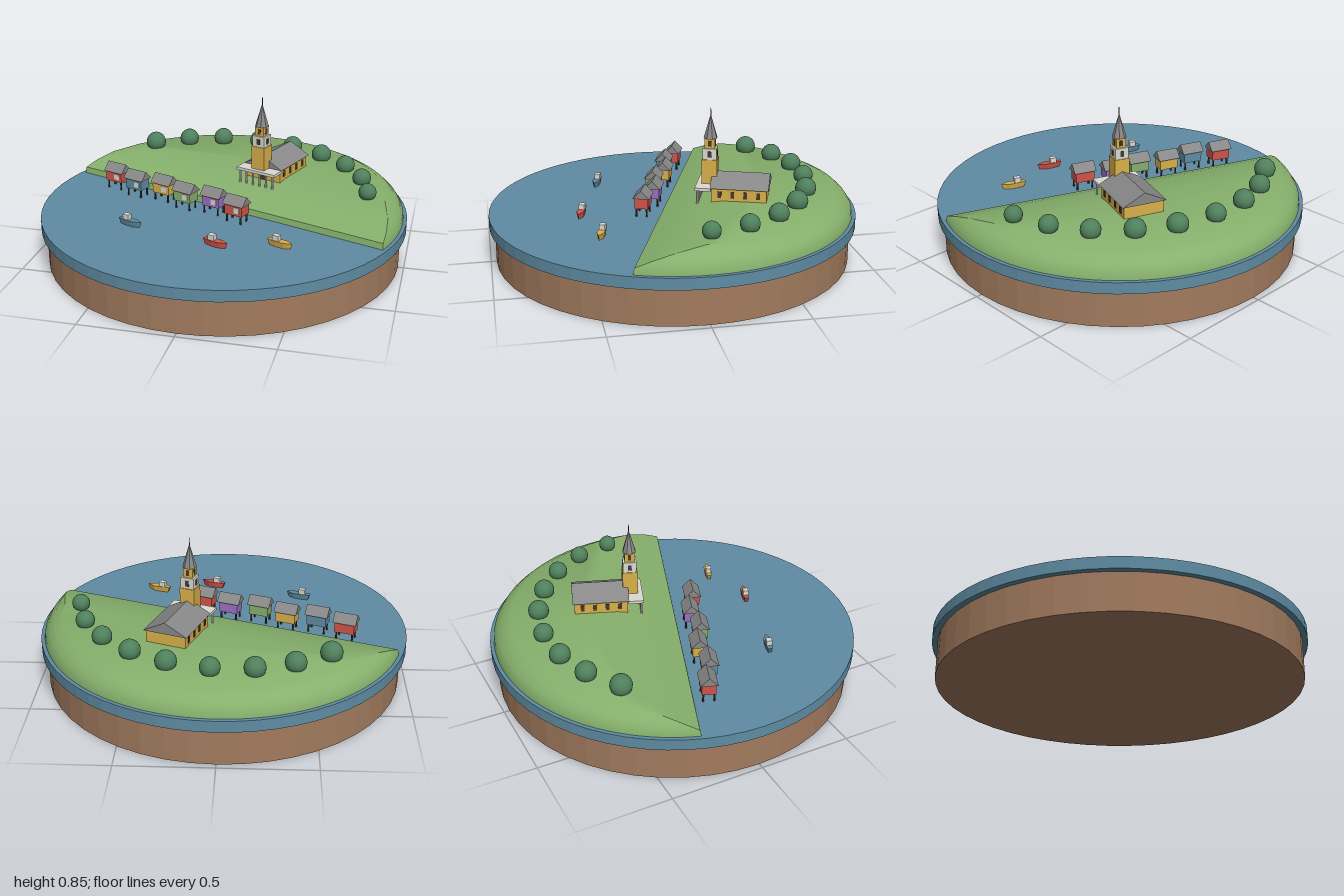
import * as THREE from 'three';
import { toCreasedNormals } from 'three/addons/utils/BufferGeometryUtils.js';

const mat = (name, color, flat = false) => {
  const m = new THREE.MeshStandardMaterial({ color, flatShading: flat });
  m.name = name;
  return m;
};

export function createModel() {
  const brown = mat('earth brown', 0xa27b5e, true);
  const blue = mat('water blue', 0x5f8ca3, true);
  const green = mat('grass green', 0x86b06c);
  const leaf = mat('tree green', 0x4f805c);
  const red = mat('red', 0xd0544a, true);
  const yellow = mat('yellow', 0xd9b04a, true);
  const purple = mat('purple', 0x9b6fc4, true);
  const grey = mat('roof grey', 0x888888, true);
  const white = mat('off white', 0xdcdad2, true);
  const dark = mat('dark', 0x45392f, true);

  const root = new THREE.Group();
  root.name = 'harbourVillage';
  const add = (parent, name, geo, material, x = 0, y = 0, z = 0) => {
    const m = new THREE.Mesh(geo, material);
    m.name = name;
    m.position.set(x, y, z);
    parent.add(m);
    return m;
  };
  const group = (parent, name, x = 0, y = 0, z = 0) => {
    const g = new THREE.Group();
    g.name = name;
    g.position.set(x, y, z);
    parent.add(g);
    return g;
  };
  // box standing on its base y
  const box = (parent, name, w, h, d, material, x, y, z) =>
    add(parent, name, new THREE.BoxGeometry(w, h, d), material, x, y + h / 2, z);
  // gabled roof with its ridge along z
  const gable = (w, h, len) => {
    const s = new THREE.Shape([[-w / 2, 0], [w / 2, 0], [0, h]].map(p => new THREE.Vector2(...p)));
    return new THREE.ExtrudeGeometry(s, { depth: len, bevelEnabled: false }).translate(0, 0, -len / 2);
  };

  // Round base and water disc
  add(root, 'earthBase', new THREE.CylinderGeometry(0.97, 0.97, 0.2, 48), brown, 0, 0.1, 0);
  add(root, 'water', new THREE.CylinderGeometry(1, 1, 0.062, 64), blue, 0, 0.231, 0);

  // Everything on the shore is turned with the shoreline
  const shore = group(root, 'shore');
  shore.rotation.y = -THREE.MathUtils.degToRad(20);

  // Land: half-disc rings [radius, shoreline z, y] lofted into a low hill
  const rings = [[0.98, 0.027, 0.262], [0.975, 0.02, 0.295], [0.955, -0.06, 0.325],
    [0.925, -0.16, 0.353], [0.88, -0.3, 0.375]];
  const nArc = 48, nChord = 16, n = nArc + nChord;
  const pos = [], idx = [];
  for (const [r, c, y] of rings) {
    const a0 = -Math.asin(c / r), xr = Math.sqrt(r * r - c * c);
    for (let i = 0; i < nArc; i++) {
      const a = a0 + (Math.PI - 2 * a0) * i / nArc;
      pos.push(r * Math.cos(a), y, -r * Math.sin(a));
    }
    for (let i = 0; i < nChord; i++) pos.push(-xr + 2 * xr * i / nChord, y, c);
  }
  for (let k = 0; k < rings.length - 1; k++) {
    for (let i = 0; i < n; i++) {
      const a = k * n + i, b = k * n + (i + 1) % n;
      idx.push(a, b, b + n, a, b + n, a + n);
    }
  }
  const centre = rings.length * n, top = (rings.length - 1) * n;
  pos.push(0, 0.377, -0.5);
  for (let i = 0; i < n; i++) idx.push(centre, top + i, top + (i + 1) % n);
  const landGeo = new THREE.BufferGeometry();
  landGeo.setAttribute('position', new THREE.Float32BufferAttribute(pos, 3));
  landGeo.setIndex(idx);
  add(shore, 'land', toCreasedNormals(landGeo, 0.65), green);

  // Ring of round trees [x, z, radius]
  const trees = [[-0.56, -0.56, 0.058], [-0.38, -0.67, 0.056], [-0.18, -0.73, 0.056],
    [0.04, -0.735, 0.053], [0.26, -0.68, 0.056], [0.45, -0.575, 0.056],
    [0.61, -0.43, 0.053], [0.725, -0.25, 0.051], [0.78, -0.045, 0.048]];
  for (const [x, z, r] of trees) {
    add(root, 'tree', new THREE.SphereGeometry(r, 20, 14), leaf, x, 0.404, z);
  }

  // Church: nave, roof and side windows
  const church = group(shore, 'church', 0.103, 0, 0);
  box(church, 'naveWalls', 0.22, 0.11, 0.29, yellow, 0, 0.335, -0.388);
  add(church, 'naveRoof', gable(0.244, 0.063, 0.308), grey, 0, 0.443, -0.389);
  for (const s of [-1, 1]) {
    for (let i = 0; i < 4; i++) {
      box(church, 'naveWindow', 0.006, 0.036, 0.02, dark, s * 0.11, 0.392, -0.49 + i * 0.068);
    }
  }
  box(church, 'churchDoor', 0.036, 0.05, 0.006, dark, 0, 0.36, -0.242);

  // Portico with a flat roof on columns
  box(church, 'porticoRoof', 0.244, 0.016, 0.085, white, 0, 0.427, -0.198);
  for (let i = 0; i < 6; i++) {
    add(church, 'porticoColumn', new THREE.CylinderGeometry(0.006, 0.006, 0.085, 8), white,
      -0.105 + i * 0.042, 0.387, -0.168);
  }

  // Tower in three tiers, with spire and finial
  const tower = group(church, 'tower', 0, 0, -0.222);
  box(tower, 'towerBase', 0.082, 0.132, 0.082, yellow, 0, 0.443, 0);
  box(tower, 'towerMiddle', 0.074, 0.06, 0.074, white, 0, 0.575, 0);
  box(tower, 'belfry', 0.054, 0.055, 0.054, yellow, 0, 0.635, 0);
  const spire = add(tower, 'spire', new THREE.ConeGeometry(0.038, 0.13, 8), grey, 0, 0.752, 0);
  spire.rotation.y = Math.PI / 8;
  add(tower, 'finial', new THREE.CylinderGeometry(0.002, 0.003, 0.06, 6), dark, 0, 0.82, 0);
  for (let i = 0; i < 4; i++) {
    const side = group(tower, 'towerSide');
    side.rotation.y = i * Math.PI / 2;
    box(side, 'middleWindow', 0.02, 0.032, 0.006, dark, 0, 0.588, 0.036);
    box(side, 'belfryWindow', 0.018, 0.03, 0.006, dark, 0, 0.645, 0.026);
  }

  // Row of stilt houses along the shore
  [red, blue, yellow, green, purple, red].forEach((paint, i) => {
    const house = group(shore, 'stiltHouse', -0.667 + i * 0.167, 0, i % 2 ? 0.131 : 0.101);
    box(house, 'houseBody', 0.108, 0.06, 0.074, paint, 0, 0.308, 0);
    add(house, 'houseRoof', gable(0.092, 0.046, 0.127).rotateY(Math.PI / 2), grey, 0, 0.366, 0);
    box(house, 'houseWindow', 0.034, 0.032, 0.006, white, 0.022, 0.323, 0.037);
    for (const sx of [-1, 1]) {
      for (const sz of [-1, 1]) {
        add(house, 'stilt', new THREE.CylinderGeometry(0.005, 0.005, 0.05, 6), dark,
          sx * 0.044, 0.285, sz * 0.028);
      }
    }
  });

  // Boats: pointed hull narrowing to the keel, with a cabin aft
  const deck = new THREE.Shape([[-0.07, -0.012], [-0.02, -0.02], [0.03, -0.02], [0.072, 0],
    [0.03, 0.02], [-0.02, 0.02], [-0.07, 0.012]].map(p => new THREE.Vector2(...p)));
  const hull = new THREE.ExtrudeGeometry(deck, { depth: 0.034, bevelEnabled: false });
  hull.rotateX(-Math.PI / 2);
  const hp = hull.attributes.position;
  for (let i = 0; i < hp.count; i++) {
    if (hp.getY(i) < 0.01) hp.setXYZ(i, hp.getX(i) * 0.8, hp.getY(i), hp.getZ(i) * 0.7);
  }
  for (const [x, z, paint] of [[-0.27, 0.487, blue], [0.25, 0.452, red], [0.526, 0.277, yellow]]) {
    const boat = group(shore, 'boat', x, 0.26, z);
    add(boat, 'hull', hull, paint);
    box(boat, 'cabin', 0.036, 0.03, 0.03, white, -0.022, 0.032, 0);
  }
  return root;
}
